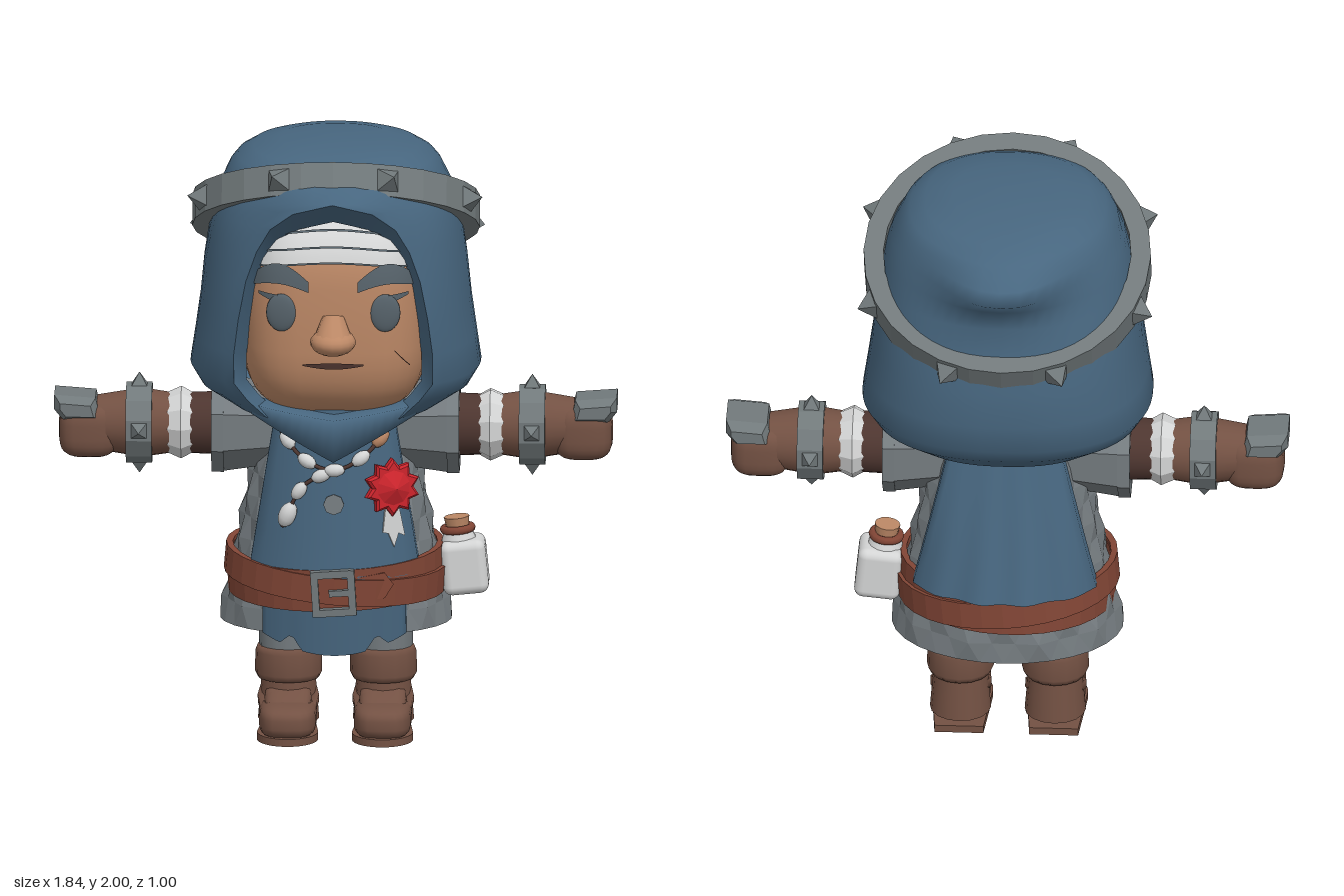
import * as THREE from 'three';
import { mergeVertices } from 'three/addons/utils/BufferGeometryUtils.js';
import { RoundedBoxGeometry } from 'three/addons/geometries/RoundedBoxGeometry.js';

const mat = (name, color, side = THREE.FrontSide) => {
  const m = new THREE.MeshStandardMaterial({ color, side });
  m.name = name;
  return m;
};

export function createModel() {
  const root = new THREE.Group();
  root.name = 'hoodedTraveller';
  const D = THREE.DoubleSide;
  const blue = mat('blueCloth', 0x47667f, D), steel = mat('steel', 0x71797b, D), quilt = mat('greyQuilt', 0x747b7f, D);
  const skin = mat('skin', 0xbc8866), leather = mat('brownLeather', 0x735143), dark = mat('darkBrown', 0x4e3630, D);
  const strap = mat('redBrownBelt', 0x824636, D), white = mat('white', 0xd3d4d4, D), red = mat('red', 0xcb242c);
  const slate = mat('slate', 0x56626a, D);

  const add = (name, geo, material, parent = root, x = 0, y = 0, z = 0) => {
    const m = new THREE.Mesh(geo, material);
    m.name = name;
    m.position.set(x, y, z);
    parent.add(m);
    return m;
  };
  const flat = (g) => {
    const n = g.index ? g.toNonIndexed() : g;
    n.computeVertexNormals();
    return n;
  };
  // Grid surface: u runs to the right, v runs up, f(u, v) returns [x, y, z]
  const patch = (f, nu, nv) => {
    const g = new THREE.PlaneGeometry(1, 1, nu, nv), p = g.attributes.position, uv = g.attributes.uv;
    for (let i = 0; i < p.count; i++) p.setXYZ(i, ...f(uv.getX(i), uv.getY(i)));
    g.deleteAttribute('uv');
    g.deleteAttribute('normal');
    const m = mergeVertices(g, 1e-4);
    m.computeVertexNormals();
    return m;
  };
  const lerpRows = (rows, y) => {
    let i = 0;
    while (i < rows.length - 2 && y > rows[i + 1][0]) i++;
    const a = rows[i], b = rows[i + 1], t = (y - a[0]) / (b[0] - a[0]);
    return a.map((v, k) => v + (b[k] - v) * t);
  };
  const spow = (v, p) => Math.sign(v) * Math.abs(v) ** p;
  const extrude = (pts, depth, bevel = 0, bevelThickness = bevel) => new THREE.ExtrudeGeometry(
    new THREE.Shape(pts.map(([x, y]) => new THREE.Vector2(x, y))),
    { depth, bevelEnabled: bevel > 0, bevelSize: bevel, bevelThickness, bevelSegments: 1 });
  const band = (rin, rout, h, n) => new THREE.LatheGeometry(
    [[rin, -h / 2], [rout, -h / 2], [rout, h / 2], [rin, h / 2], [rin, -h / 2]].map(([x, y]) => new THREE.Vector2(x, y)), n);

  // Quilted torso and flared skirt: a lattice of triangles with raised knots
  const torso = [[0.38, 0.38, 0.29], [0.5, 0.345, 0.28], [0.62, 0.325, 0.27], [0.9, 0.27, 0.24], [1.16, 0.2, 0.18]];
  add('quiltedTunic', flat(patch((u, v) => {
    const y = 0.38 + v * 0.78, [, rx, rz] = lerpRows(torso, y);
    const i = Math.round(u * 30), j = Math.round(v * 11), a = ((i - j / 2) / 30) * Math.PI * 2;
    const bump = j > 0 && (i + j) % 3 === 0 ? 0.016 : 0;
    return [Math.sin(a) * (rx + bump), y, Math.cos(a) * (rz + bump) - 0.015];
  }, 30, 11)), quilt);
  const under = add('skirtUnderside', new THREE.CircleGeometry(1, 28), quilt, root, 0, 0.41, -0.015);
  under.rotation.x = Math.PI / 2;
  under.scale.set(0.365, 0.275, 1);

  // Front tabard, torn lower flap and back cape, with edges turned in
  const tab = [[0.65, 0.345, 0.325], [1.14, 0.3, 0.275]];
  const tabZ = (x, y) => {
    const [, rx, rz] = lerpRows(tab, y);
    return rz * Math.sqrt(Math.max(0, 1 - (x / rx) ** 2));
  };
  // Maps u to -1..1 across the cloth and marks the turned-in end columns
  const across = (u, n) => {
    const i = Math.round(u * n), turned = i === 0 || i === n;
    return [((THREE.MathUtils.clamp(i, 1, n - 1) - 1) / (n - 2)) * 2 - 1, turned];
  };
  add('tabard', patch((u, v) => {
    const [s, turned] = across(u, 16), y = 0.58 + v * 0.56, x = s * (0.28 - 0.09 * v);
    return [x, y, tabZ(x, y) - (turned ? 0.06 : 0)];
  }, 16, 4), blue);
  add('tabardFlap', patch((u, v) => {
    const [s, turned] = across(u, 34), x = s * 0.235, n = Math.abs(Math.abs(x) - 0.14);
    const hem = 0.32 + Math.max(0, 0.045 - n * 1.2) + 0.06 * x * x / 0.055;
    return [x, hem + (0.56 - hem) * v, 0.315 * Math.sqrt(1 - (x / 0.36) ** 2) - (turned ? 0.04 : 0) - 0.015 * (1 - v)];
  }, 34, 2), blue);
  add('backCape', patch((u, v) => {
    const [s, turned] = across(u, 26), x = -s * (0.3 - 0.12 * v), rz = 0.35 - 0.13 * v;
    const fold = 0.008 * Math.cos(s * Math.PI * 4) * (1 - v);
    return [x, 0.625 + v * 0.515, -rz * Math.sqrt(1 - (x / 0.385) ** 2) + fold + (turned ? 0.05 : 0)];
  }, 26, 4), blue);

  // Belt with a crossing wrap, buckle and tongue
  const wrap = (name, h, rx, rz, tilt) => {
    const b = add(name, flat(band(0.94, 1, h, 32)), strap, root, 0, 0.56, 0);
    b.scale.set(rx, 1, rz);
    b.rotation.set(0.05, 0, tilt);
  };
  wrap('belt', 0.14, 0.355, 0.33, 0.03);
  wrap('beltWrap', 0.09, 0.364, 0.337, -0.09);
  const tongue = add('beltTongue', extrude([[0.06, -0.04], [0.17, -0.03], [0.2, 0.015], [0.17, 0.055], [0.06, 0.04]], 0.008), strap, root, 0, 0.545, 0.335);
  tongue.rotation.y = 0.25;
  const buckle = new THREE.Group();
  buckle.name = 'buckle';
  buckle.position.set(0, 0.54, 0.34);
  buckle.rotation.z = 0.06;
  root.add(buckle);
  for (const s of [-1, 1]) {
    add('buckleSide', new THREE.BoxGeometry(0.024, 0.15, 0.028), steel, buckle, s * 0.06);
    add('buckleBar', new THREE.BoxGeometry(0.12, 0.024, 0.028), steel, buckle, 0, s * 0.064);
  }
  add('bucklePin', new THREE.BoxGeometry(0.08, 0.02, 0.028), steel, buckle, 0.025);

  // Head: a squared ball, with features that follow its face
  const H = { y: 1.46, a: 0.31, b: 0.36, c: 0.39 };
  const faceZ = (x, y) => H.c * Math.max(0, 1 - Math.abs(x / H.a) ** 3.33 - Math.abs((y - H.y) / H.b) ** 3.33) ** 0.3;
  const squareBall = (a, b, c, n = 32) => {
    const g = new THREE.SphereGeometry(1, n, n * 0.75), p = g.attributes.position;
    for (let i = 0; i < p.count; i++)
      p.setXYZ(i, a * spow(p.getX(i), 0.6), b * spow(p.getY(i), 0.6), c * spow(p.getZ(i), 0.6));
    g.computeVertexNormals();
    return g;
  };
  add('head', squareBall(H.a, H.b, H.c), skin, root, 0, H.y, 0);
  const faceStrip = (name, m, x0, x1, low, high, lift = 0.008) => add(name, patch((u, v) => {
    const x = x0 + (x1 - x0) * u, y = low(u) + (high(u) - low(u)) * v;
    return [x, y, faceZ(x, y) + lift];
  }, 14, 3), m);
  for (let i = 0; i < 3; i++) {
    const lo = (u) => 1.635 + i * 0.05 + 0.025 * Math.sin(u * Math.PI), w = 0.27 - i * 0.02;
    faceStrip('headWrap', white, -w, w, lo, (u) => lo(u) + 0.053, 0.012 + i * 0.006);
    faceStrip('headWrapSeam', slate, -w, w, (u) => lo(u) - 0.003, (u) => lo(u) + 0.003, 0.02 + i * 0.006);
  }
  for (const s of [-1, 1]) {
    const eye = add('eye', new THREE.SphereGeometry(1, 20, 14), slate, root, s * 0.17, 1.49, faceZ(0.17, 1.49));
    eye.scale.set(0.05, 0.063, 0.014);
    eye.rotation.y = s * 0.15;
    const t = (u) => (s > 0 ? u : 1 - u);
    faceStrip('eyebrow', slate, s > 0 ? 0.08 : -0.26, s > 0 ? 0.26 : -0.08,
      (u) => 1.565 + 0.025 * Math.sin(t(u) * 2.7),
      (u) => 1.6 + 0.062 * Math.sin(t(u) * 2.7) - 0.012 * t(u), 0.024);
    faceStrip('lash', slate, s > 0 ? 0.18 : -0.245, s > 0 ? 0.245 : -0.18,
      (u) => 1.52 + 0.025 * t(u), (u) => 1.55 + 0.005 * t(u), 0.01);
  }
  faceStrip('mouth', dark, -0.1, 0.1, (u) => 1.315 - 0.012 * Math.sin(u * Math.PI), (u) => 1.32 + 0.004 * Math.sin(u * Math.PI));
  faceStrip('cheekLine', dark, 0.2, 0.25, (u) => 1.36 - 0.06 * u, (u) => 1.364 - 0.06 * u);
  const nose = add('nose', new THREE.SphereGeometry(1, 16, 12), skin, root, 0, 1.4, 0.41);
  nose.scale.set(0.075, 0.045, 0.082);
  const bridge = add('noseBridge', new THREE.CylinderGeometry(0.035, 0.068, 0.085, 12), skin, root, 0, 1.44, 0.4);
  bridge.rotation.x = -0.35;

  // Hood rows: height, half width, edge z, back z, half opening, back point, front peak
  const rows = [
    [1.08, 0.22, 0.26, -0.22, 0.16, 0, 0], [1.13, 0.34, 0.34, -0.31, 0.22, 0, 0], [1.19, 0.44, 0.36, -0.38, 0.28, 0, 0],
    [1.25, 0.475, 0.37, -0.425, 0.325, 0, 0], [1.35, 0.46, 0.38, -0.44, 0.325, 0, 0], [1.47, 0.443, 0.395, -0.435, 0.31, 0, 0],
    [1.6, 0.43, 0.4, -0.415, 0.285, 0, 0], [1.7, 0.415, 0.405, -0.385, 0.25, 0.01, 0.01], [1.78, 0.4, 0.425, -0.365, 0.205, 0.06, 0.05],
    [1.84, 0.38, 0.46, -0.36, 0.13, 0.14, 0.09], [1.88, 0.36, 0.5, -0.35, 0, 0.12, 0.13], [1.91, 0.345, 0.43, -0.345, 0, 0.09, 0.07],
    [1.94, 0.32, 0.36, -0.33, 0, 0.07, 0.02], [1.97, 0.27, 0.29, -0.29, 0, 0.03, 0], [1.99, 0.18, 0.18, -0.2, 0, 0, 0], [2.0, 0, 0, 0, 0, 0, 0]];
  const N = rows.length - 1;
  add('hood', patch((u, v) => {
    const [y, a, ez, b, w, tip, peak] = rows[Math.round(v * N)];
    const edge = a > 0 ? Math.asin((w / a) ** (1 / 0.85)) : 0, ce = Math.cos(edge);
    const f = (ez - peak * ce ** 8) / ce ** 0.85, phi = (u * 2 - 1) * (Math.PI - edge), c = Math.cos(phi);
    const z = c > 0 ? b * c ** 0.85 - tip * c ** 9 : f * (-c) ** 0.85 + peak * (-c) ** 8;
    return [-a * spow(Math.sin(phi), 0.85), y, z];
  }, 48, N), blue);
  const lip = rows.slice(0, 11).map(([y, , z, , w]) => [w, y, z]);
  const arch = [...lip.map(([x, y, z]) => [-x, y, z]), ...lip.slice(0, -1).reverse()];
  add('hoodLining', patch((u, v) => {
    const [x, y, z] = arch[Math.round(u * (arch.length - 1))], k = 1 - v;
    return [x * (1 - 0.12 * k), y - (y - 1.1) * 0.11 * k, z - 0.13 * k];
  }, arch.length - 1, 2), blue);
  add('cowl', patch((u, v) => {
    const x = (u * 2 - 1) * 0.27, k = Math.round(v * 3), ax = Math.abs(x);
    const y = [1.05 + ax * 0.3, 0.985 + ax * 0.55, 1.125 + ax * 0.15, 1.125 + ax * 0.15][k];
    return [x, y, 0.37 - 0.9 * x * x - (k % 3 ? 0 : 0.13)];
  }, 16, 3), blue);

  // Tilted spiked ring on the hood
  const spike = (r, h) => flat(new THREE.ConeGeometry(r, h, 4).rotateY(Math.PI / 4).rotateX(Math.PI / 2));
  const ring = new THREE.Group();
  ring.name = 'spikedRing';
  ring.position.set(0, 1.74, -0.025);
  ring.rotation.x = -0.46;
  root.add(ring);
  add('ringBand', flat(band(0.405, 0.47, 0.105, 28)), steel, ring);
  for (let i = 0; i < 8; i++) {
    const a = (i + 0.5) * Math.PI / 4;
    add('ringSpike', spike(0.055, 0.06), steel, ring, Math.sin(a) * 0.492, 0, Math.cos(a) * 0.492).rotation.y = a;
  }

  // Arm along +x; the other is the same arm turned half round
  const arm = new THREE.Group();
  arm.name = 'leftArm';
  arm.position.y = 1.03;
  root.add(arm);
  const tube = (name, m, x0, r0, x1, r1, n = 20, facets = false) => {
    const g = new THREE.CylinderGeometry(r1, r0, x1 - x0, n).rotateY(Math.PI / n).rotateZ(-Math.PI / 2);
    return add(name, facets ? flat(g) : g, m, arm, (x0 + x1) / 2);
  };
  tube('sleeve', quilt, 0.16, 0.13, 0.37, 0.16, 8, true);
  add('sleeveCuff', flat(band(0.12, 0.163, 0.04, 8).rotateY(Math.PI / 8).rotateZ(-Math.PI / 2)), quilt, arm, 0.385);
  tube('innerSleeve', dark, 0.34, 0.105, 0.48, 0.1);
  tube('furTrim', white, 0.465, 0.098, 0.505, 0.12, 11, true);
  tube('furTrim', white, 0.505, 0.12, 0.55, 0.1, 11, true);
  tube('forearm', leather, 0.53, 0.098, 0.61, 0.11);
  tube('bracer', steel, 0.6, 0.132, 0.685, 0.132, 12, true);
  tube('wrist', leather, 0.67, 0.108, 0.78, 0.09);
  for (let i = 0; i < 4; i++) {
    const a = i * Math.PI / 2;
    add('bracerSpike', spike(0.038, 0.045), steel, arm, 0.642, Math.sin(a) * 0.147, Math.cos(a) * 0.147).rotation.x = -a;
  }
  add('hand', squareBall(0.098, 0.092, 0.1, 20), leather, arm, 0.808, -0.018);
  const plate = [[0.79, 0.04], [0.88, 0.04], [0.9, 0.065], [0.9, 0.085], [0.8, 0.077]];
  add('handPlate', flat(extrude(plate, 0.13, 0.02, 0.04)), steel, arm, 0, 0, -0.065);
  const otherArm = arm.clone();
  otherArm.name = 'rightArm';
  otherArm.rotation.y = Math.PI;
  root.add(otherArm);

  // Legs and boots
  for (const s of [-1, 1]) {
    const leg = new THREE.Group();
    leg.name = s > 0 ? 'leftLeg' : 'rightLeg';
    leg.position.x = s * 0.155;
    root.add(leg);
    add('trouser', new THREE.CylinderGeometry(0.1, 0.095, 0.2, 16), quilt, leg, 0, 0.35);
    const cuff = [[0, 0.17], [0.1, 0.18], [0.11, 0.2], [0.108, 0.27], [0.1, 0.29], [0, 0.29]];
    add('bootCuff', new THREE.LatheGeometry(cuff.map(([x, y]) => new THREE.Vector2(x, y)), 16), leather, leg);
    add('bootShaft', new THREE.CylinderGeometry(0.088, 0.1, 0.15, 16), leather, leg, 0, 0.115, -0.005);
    add('bootFoot', squareBall(0.095, 0.058, 0.165, 20), leather, leg, 0, 0.068, 0.08);
    const instep = add('bootInstep', squareBall(0.078, 0.045, 0.1, 16), leather, leg, 0, 0.11, 0.07);
    instep.rotation.x = 0.4;
    const sole = new THREE.Shape().absellipse(0, 0.13, 0.1, 0.115, 0, Math.PI);
    sole.lineTo(-0.08, -0.11);
    sole.lineTo(0.08, -0.11);
    add('bootSole', new THREE.ExtrudeGeometry(sole, { depth: 0.025, bevelEnabled: false }).rotateX(Math.PI / 2), leather, leg, 0, 0.025);
    const bootStrap = add('bootStrap', band(0.07, 0.1, 0.03, 16), leather, leg, 0, 0.115, 0.03);
    bootStrap.rotation.x = 0.4;
    bootStrap.scale.z = 1.2;
  }

  // Bottle hanging from the belt
  const bottle = new THREE.Group();
  bottle.name = 'bottle';
  bottle.position.set(0.42, 0.56, 0);
  bottle.rotation.z = 0.1;
  root.add(bottle);
  add('bottleBody', new RoundedBoxGeometry(0.15, 0.18, 0.155, 3, 0.03), white, bottle);
  add('bottleNeck', new THREE.CylinderGeometry(0.045, 0.06, 0.04, 14), white, bottle, -0.01, 0.1);
  add('bottleCord', new THREE.TorusGeometry(0.045, 0.014, 8, 16).rotateX(Math.PI / 2), strap, bottle, -0.01, 0.122);
  add('cork', new THREE.CylinderGeometry(0.042, 0.036, 0.04, 12), skin, bottle, -0.01, 0.142);

  // Red rosette with white ribbon, and the worn patch
  const star = Array.from({ length: 20 }, (_, i) => {
    const a = i * Math.PI / 10, r = i % 2 ? 0.062 : 0.085;
    return [Math.sin(a) * r, Math.cos(a) * r];
  });
  const rosette = new THREE.Group();
  rosette.name = 'rosette';
  rosette.position.set(0.185, 0.88, tabZ(0.185, 0.88) + 0.01);
  rosette.rotation.set(-0.05, 0.4, 0);
  root.add(rosette);
  add('rosettePetals', flat(extrude(star, 0.02, 0.008)), red, rosette);
  add('rosetteCentre', flat(new THREE.ConeGeometry(0.06, 0.03, 10).rotateX(Math.PI / 2)), red, rosette, 0, 0, 0.042);
  add('ribbon', extrude([[-0.02, -0.06], [0.025, -0.06], [0.048, -0.165], [0.025, -0.155], [0.01, -0.2], [-0.01, -0.155], [-0.03, -0.15]], 0.009), white, rosette);
  const worn = add('wornPatch', new THREE.CylinderGeometry(0.034, 0.034, 0.008, 8).rotateX(Math.PI / 2), quilt, root, 0, 0.83, tabZ(0, 0.83) + 0.003);
  worn.rotation.x = -0.1;

  // Bead necklace with a hanging strand
  const strand = (pts, count, last, size) => {
    const curve = new THREE.CatmullRomCurve3(pts.map(([x, y]) => new THREE.Vector3(x, y, tabZ(x, y) + 0.014)));
    add('necklaceCord', new THREE.TubeGeometry(curve, 20, 0.007, 6), dark);
    for (let i = 0; i < count; i++) {
      const t = (i + 0.5) / count, end = i === count - 1;
      const bead = add('bead', new THREE.SphereGeometry(1, 10, 8), end ? last : white);
      bead.position.copy(curve.getPointAt(t));
      bead.scale.set(0.035, 0.022, 0.022).multiplyScalar(end ? size : 1);
      bead.quaternion.setFromUnitVectors(new THREE.Vector3(1, 0, 0), curve.getTangentAt(t));
    }
  };
  strand([[-0.18, 1.07], [-0.1, 0.98], [0, 0.945], [0.1, 0.99], [0.18, 1.08]], 5, skin, 1.1);
  strand([[0, 0.945], [-0.1, 0.89], [-0.17, 0.75]], 3, white, 1.3);
  return root;
}
